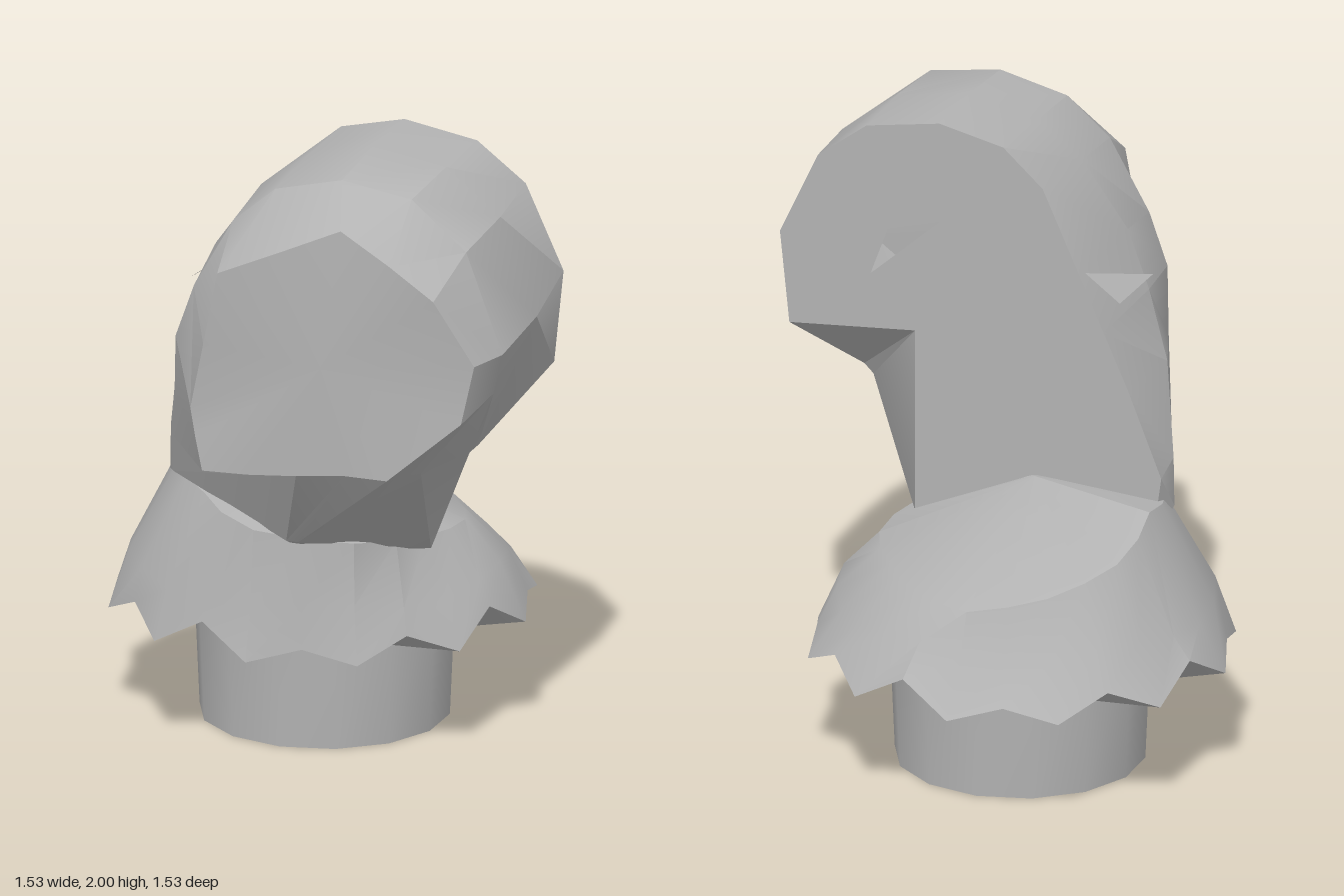
import * as THREE from 'three';
import { toCreasedNormals } from 'three/addons/utils/BufferGeometryUtils.js';

// Skin a list of closed rings (each an array of Vector3) with softly creased facets.
function loft(rings, crease) {
  const pos = [];
  const tri = (a, b, c) => {
    if (a.equals(b) || b.equals(c) || a.equals(c)) return;
    pos.push(...a.toArray(), ...b.toArray(), ...c.toArray());
  };
  for (let i = 0; i < rings.length - 1; i++) {
    const n = rings[i].length;
    for (let j = 0; j < n; j++) {
      const k = (j + 1) % n;
      tri(rings[i][j], rings[i][k], rings[i + 1][k]);
      tri(rings[i][j], rings[i + 1][k], rings[i + 1][j]);
    }
  }
  const g = new THREE.BufferGeometry();
  g.setAttribute('position', new THREE.Float32BufferAttribute(pos, 3));
  return toCreasedNormals(g, crease);
}

export function createModel() {
  const model = new THREE.Group();
  model.name = 'hookedCap';
  const grey = new THREE.MeshStandardMaterial({ color: 0xb3b3b3, side: THREE.DoubleSide });
  grey.name = 'grey';
  const add = (name, geometry) => {
    const mesh = new THREE.Mesh(geometry, grey);
    mesh.name = name;
    model.add(mesh);
    return mesh;
  };

  // Round peg at the bottom
  const peg = new THREE.CylinderGeometry(0.41, 0.39, 0.46, 14);
  add('peg', toCreasedNormals(peg, 0.6)).position.set(-0.09, 0.23, -0.09);

  // Hooked head: outlines from the flat back to the front; a third number overrides z
  const back = [[0.3, 0.7], [0.3, 1.3], [0.714, 1.27], [0.745, 1.57], [0.62, 1.84],
    [0.46, 1.96], [0.22, 2], [0.01, 1.95], [-0.12, 1.83], [-0.24, 1.56], [-0.32, 1.38],
    [-0.4, 1.2], [-0.51, 0.92], [-0.48, 0.7], [0, 0.65]];
  const middle = [[0.38, 0.68, 0.22], [0.53, 1.03, 0.28], [0.56, 1.06, 0.28], [0.76, 1.51], [0.64, 1.82],
    [0.46, 1.96], [0.22, 2], [0, 1.94], [-0.15, 1.83], [-0.3, 1.62], [-0.37, 1.43],
    [-0.43, 1.2], [-0.51, 0.95, 0.14], [-0.52, 0.8, 0.12], [0, 0.65]];
  const fore = [[0.06, 0.76, 0.53], [0.48, 1.05], [0.72, 1.34], [0.75, 1.47], [0.63, 1.79],
    [0.45, 1.94], [0.22, 1.975], [0, 1.92], [-0.14, 1.8], [-0.27, 1.57], [-0.33, 1.4],
    [-0.36, 1.2, 0.5], [-0.46, 0.96, 0.26], [-0.48, 0.82, 0.2], [0.02, 0.76, 0.53]];
  const front = [[0.3, 1.08], [0.44, 1.08], [0.67, 1.28, 0.72], [0.71, 1.47, 0.71], [0.59, 1.68, 0.75],
    [0.45, 1.78], [0.28, 1.87, 0.74], [0.1, 1.79], [-0.12, 1.69], [-0.17, 1.45, 0.75], [-0.22, 1.23, 0.73],
    [-0.2, 1.14, 0.74], [-0.17, 1.04], [-0.02, 1.045], [0.14, 1.06]];
  const atZ = (outline, d) => outline.map(([x, y, z = d]) => new THREE.Vector3(x, y, z));
  const face = Array(front.length).fill(new THREE.Vector3(0.22, 1.42, 0.76));
  add('head', loft([atZ(back, 0.03), atZ(middle, 0.3), atZ(fore, 0.57), atZ(front, 0.76), face], 0.5));

  // Flat back with a small opening into the hollow head
  const toV2 = (list) => list.map(([x, y]) => new THREE.Vector2(x, y));
  const backShape = new THREE.Shape(toV2([...back].reverse()));
  backShape.holes.push(new THREE.Path(toV2([[0.447, 1.47], [0.39, 1.625], [0.216, 1.675]])));
  const backPlate = new THREE.ShapeGeometry(backShape);
  backPlate.index.array.reverse(); // face the rear
  backPlate.computeVertexNormals();
  add('headBack', backPlate).position.z = 0.03;

  // Small thin shard standing off the side of the head
  const shard = new THREE.BufferGeometry().setFromPoints([
    new THREE.Vector3(-0.26, 1.57, 0.03),
    new THREE.Vector3(-0.37, 1.48, 0.04),
    new THREE.Vector3(-0.39, 1.49, 0.28),
  ]);
  shard.computeVertexNormals();
  add('shard', shard);

  // Flared skirt: sloping top, shoulder, flare, jagged hem, underside
  const N = 24;
  const shoulderR = [0.47, 0.5, 0.61, 0.6, 0.47, 0.45, 0.42, 0.46, 0.47, 0.49, 0.43, 0.41];
  const shoulderY = [0.67, 0.69, 0.74, 0.77, 0.8, 0.83, 0.86, 0.77, 0.7, 0.655, 0.65, 0.66];
  const mix = (table, j) => (table[j >> 1] + table[((j + 1) >> 1) % 12]) / 2;
  const ring = (radius, height) => Array.from({ length: N }, (_, j) => {
    const a = (j / N) * Math.PI * 2, r = radius(j);
    return new THREE.Vector3(-0.1 + r * Math.cos(a), height(j), -0.1 + r * Math.sin(a));
  });
  const spike = (j) => j % 2 === 0;
  const apex = new THREE.Vector3(-0.1, 0.88, 0.01);
  add('skirt', loft([
    Array(N).fill(apex),
    ring((j) => mix(shoulderR, j), (j) => mix(shoulderY, j)),
    ring((j) => 0.585 + 0.04 * Math.sin((j / N) * Math.PI * 2), (j) => 0.53 + 0.02 * Math.cos(j * 1.3)),
    ring((j) => (spike(j) ? 0.67 : 0.635), (j) => (spike(j) ? 0.36 : 0.43 + 0.03 * Math.sin(j * 2.1))),
    ring(() => 0.5, (j) => (spike(j) ? 0.4 : 0.36)),
    ring(() => 0.39, () => 0.36),
  ], 0.5));

  return model;
}
